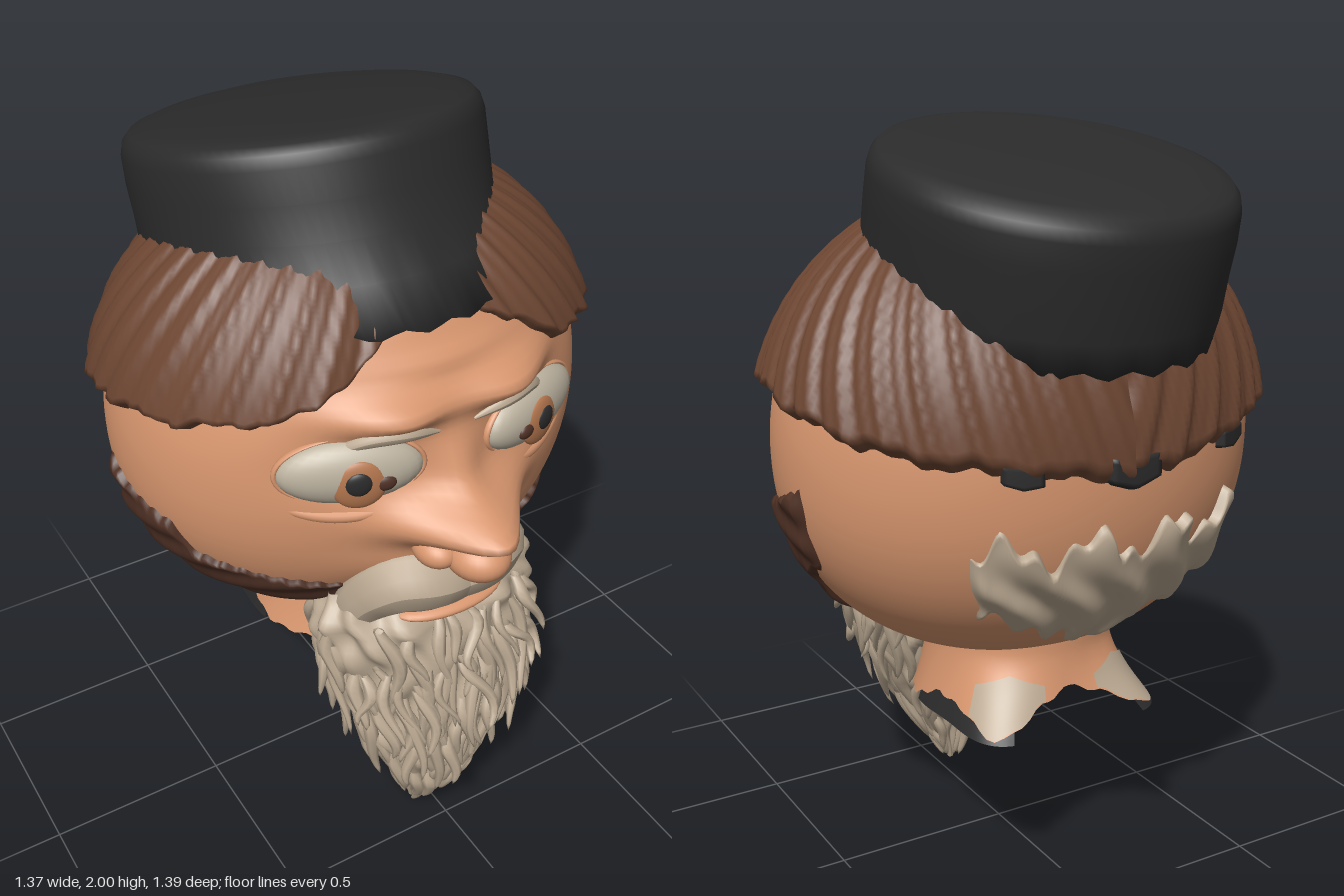
import * as THREE from 'three';
import { mergeGeometries, mergeVertices } from 'three/addons/utils/BufferGeometryUtils.js';
import { ParametricGeometry } from 'three/addons/geometries/ParametricGeometry.js';

const { sin, cos, abs, min, max, sqrt, exp, PI } = Math;
const RAD = PI / 180;

// Piecewise-linear lookup: rows of [key, value, value...] in rising key order
function lookup(rows, key) {
  if (key <= rows[0][0]) return rows[0].slice(1);
  for (let i = 1; i < rows.length; i++) {
    if (key <= rows[i][0]) {
      const a = rows[i - 1], b = rows[i], t = (key - a[0]) / (b[0] - a[0]);
      return a.slice(1).map((q, j) => q + (b[j + 1] - q) * t);
    }
  }
  return rows[rows.length - 1].slice(1);
}

// Smooth, welded surface; u runs round the model from the front, v runs upwards
function surface(fn, nu, nv) {
  let g = new ParametricGeometry((u, v, out) => out.set(...fn(u, v)), nu, nv);
  g.deleteAttribute('uv');
  g.deleteAttribute('normal');
  g = mergeVertices(g, 1e-5);
  g.computeVertexNormals();
  return g;
}

// Basic skull, a little squarer towards the jaw
function skullWidth(y) {
  const power = y > 1.2 ? 2 : 2.2;
  const d = min(1, abs(y - 1.2) / (y > 1.2 ? 0.65 : 0.58));
  return (1 - d ** power) ** (1 / power);
}
function skull(th, y, off = 0) {
  const k = skullWidth(y);
  return [(0.655 * k + off) * sin(th), y, -0.08 + ((cos(th) > 0 ? 0.55 : 0.53) * k + off) * cos(th)];
}

// Facial relief pushed forward: x, y, width, height, amount
const RELIEF = [
  [0, 1.12, 0.155, 0.06, 0.215], [0, 1.22, 0.06, 0.1, 0.04],
  [0.17, 1.42, 0.14, 0.045, 0.075], [-0.17, 1.42, 0.14, 0.045, 0.075],
  [0.26, 1.27, 0.14, 0.07, -0.03], [-0.26, 1.27, 0.14, 0.07, -0.03],
  [0, 0.97, 0.2, 0.09, 0.06], [0, 1.51, 0.2, 0.025, 0.015],
];
function skinPoint(th, y) {
  const p = skull(th, y);
  for (const [bx, by, sx, sy, a] of RELIEF) {
    p[2] += a * max(0, cos(th)) * exp(-(((p[0] - bx) / sx) ** 2) - ((y - by) / sy) ** 2);
  }
  return p;
}
function onFace(x, y, off) {
  const p = skinPoint(Math.asin(x / (0.655 * skullWidth(y))), y);
  return new THREE.Vector3(x, y, p[2] + off);
}

// Raised patch of hair lying on the skull between two heights, edges tucked in
function patch(a0, a1, lo, hi, thick, ripple, nu, nv) {
  return surface((u, v) => {
    const a = a0 + (a1 - a0) * u;
    const y = lo(a) + (hi(a) - lo(a)) * v;
    const edge = min(1, 16 * v, 16 * (1 - v), 20 * u, 20 * (1 - u));
    return skull(a * RAD, y, -0.01 + (thick + 0.01 + ripple(a, y)) * edge);
  }, nu, nv);
}

// Round bar following a curve, radius scaled along its length
function taperedTube(points, radius, profile) {
  const curve = new THREE.CatmullRomCurve3(points);
  const n = 24, m = 12;
  const g = new THREE.TubeGeometry(curve, n, radius, m);
  const pos = g.attributes.position, c = new THREE.Vector3(), p = new THREE.Vector3();
  for (let i = 0; i < pos.count; i++) {
    const t = Math.floor(i / (m + 1)) / n;
    curve.getPointAt(t, c);
    p.fromBufferAttribute(pos, i).sub(c).multiplyScalar(profile(t)).add(c);
    pos.setXYZ(i, p.x, p.y, p.z);
  }
  g.computeVertexNormals();
  return g;
}

// Beard body sections by height: half width, back z, front z
const BEARD = [
  [0, 0.008, 0.385, 0.4], [0.1, 0.045, 0.36, 0.46], [0.2, 0.1, 0.31, 0.52], [0.3, 0.155, 0.26, 0.555],
  [0.4, 0.2, 0.2, 0.57], [0.5, 0.24, 0.15, 0.575], [0.6, 0.28, 0.11, 0.56], [0.7, 0.31, 0.12, 0.54],
  [0.78, 0.32, 0.17, 0.515], [0.85, 0.28, 0.22, 0.44],
];
function beardPoint(th, y, off) {
  const [w, zb, zf] = lookup(BEARD, y);
  const lean = -0.05 * max(0, 1 - y / 0.5);
  return [lean + (w + off) * sin(th), y, (zf + zb) / 2 + ((zf - zb) / 2 + off) * cos(th)];
}

export function createModel() {
  const root = new THREE.Group();
  const mat = (name, color) => new THREE.MeshStandardMaterial({ name, color, side: THREE.DoubleSide });
  const skin = mat('skin', 0xd9976f), hair = mat('brown hair', 0x6d4632), dark = mat('dark brown', 0x4f3125);
  const black = mat('black felt', 0x2b2b2b), grey = mat('grey beard', 0xbba992);
  const white = mat('eye white', 0xbdb3a0), amber = mat('iris amber', 0xb5774f);
  const add = (name, geo, m, parent = root) => {
    const mesh = new THREE.Mesh(geo, m);
    mesh.name = name;
    parent.add(mesh);
    return mesh;
  };
  const ball = (name, m, p, s, parent = root) => {
    const mesh = add(name, new THREE.SphereGeometry(1, 28, 20), m, parent);
    mesh.position.set(...p);
    mesh.scale.set(...s);
    return mesh;
  };

  // Head with brow, nose and upper lip modelled in
  add('head', surface((u, v) => {
    const c = -cos(PI * v);
    return skinPoint((u * 2 - 1) * PI, 1.2 + c * (c > 0 ? 0.65 : 0.58));
  }, 160, 110), skin);
  ball('noseBulb', skin, [0, 1.035, 0.57], [0.082, 0.062, 0.095]);
  ball('lowerLip', skin, [0, 0.812, 0.46], [0.16, 0.026, 0.07]);

  // Neck widening into two collar points at the back
  const neckPoint = (th, y, off) => {
    const point = exp(-(((abs(th) / RAD - 142) / 22) ** 2));
    const drop = max(0, (0.66 - y) / 0.19);
    const r = 0.25 + (0.04 + 0.095 * point) * drop ** 1.5 + off;
    return [r * sin(th), y, -0.1 + r * cos(th)];
  };
  const neckEdge = [[0, 0.47], [75, 0.475], [100, 0.525], [122, 0.51], [142, 0.47], [160, 0.53], [180, 0.565]];
  const neckLow = th => lookup(neckEdge, abs(th) / RAD)[0] + 0.005 * sin(abs(th) * 23);
  add('neck', surface((u, v) => {
    const th = (u * 2 - 1) * PI, lo = neckLow(th);
    return neckPoint(th, lo + (0.7 - lo) * v, 0);
  }, 100, 10), skin);

  for (const s of [1, -1]) {
    const side = s > 0 ? 'left' : 'right';
    ball(side + 'Nostril', skin, [s * 0.085, 1.045, 0.51], [0.055, 0.045, 0.07]);

    // Eye, turned to follow the curve of the face
    const eye = new THREE.Group();
    eye.name = side + 'Eye';
    eye.position.set(s * 0.26, 1.28, 0.395);
    eye.rotation.y = s * 0.36;
    root.add(eye);
    ball('eyeball', white, [0, 0, 0], [0.18, 0.09, 0.062], eye);
    ball('iris', amber, [-s * 0.015, -0.015, 0.047], [0.068, 0.068, 0.021], eye);
    ball('pupil', black, [-s * 0.012, -0.005, 0.062], [0.033, 0.033, 0.012], eye);
    ball('irisFleck', dark, [-s * 0.075, -0.015, 0.05], [0.03, 0.022, 0.014], eye);
    add('eyelids', new THREE.TorusGeometry(1, 0.04, 10, 48), skin, eye).scale.set(0.182, 0.094, 0.25);

    // Brow hairs under the ridge, and under-eye fold
    const arc = (pts, off) => pts.map(([x, y]) => onFace(s * x, y, off));
    const bulge = t => 0.2 + 0.8 * sin(PI * t);
    add(side + 'Eyebrow', taperedTube(arc([[0.05, 1.352], [0.14, 1.378], [0.23, 1.372], [0.315, 1.325]], 0.0), 0.022, bulge), grey);
    add(side + 'EyeFold', taperedTube(arc([[0.12, 1.19], [0.25, 1.155], [0.38, 1.17], [0.46, 1.22]], -0.016), 0.02, bulge), skin);

    // Drooping moustache half, broad in the middle
    const path = [[-0.05, 0.905, 0.46], [0.06, 0.92, 0.465], [0.14, 0.915, 0.43], [0.195, 0.85, 0.38], [0.23, 0.75, 0.34]];
    add(side + 'Moustache', taperedTube(path.map(([x, y, z]) => new THREE.Vector3(s * x, y, z)), 0.095,
      t => t < 0.6 ? 0.83 + 0.2 * sin(t * 4.2) : 0.95 - (t - 0.6) * 0.9), grey);

    // Dark sideburn sweeping along the jaw
    const low = [[20, 0.76], [45, 0.715], [70, 0.7], [84, 0.75], [88, 0.88], [100, 0.94]];
    const high = [[20, 0.88], [45, 0.93], [66, 0.98], [70, 1.07], [86, 1.1], [100, 1.16]];
    add(side + 'Sideburn', patch(s > 0 ? 20 : -100, s > 0 ? 100 : -20,
      a => lookup(low, abs(a))[0] + 0.006 * sin(a * 0.9),
      a => lookup(high, abs(a))[0] + 0.006 * sin(a * 1.3),
      0.016, (a, y) => 0.006 * sin(abs(a) * 0.12 + y * 60), 80, 40), dark);

    // Dark scrap of cloth and pale collar point at the neck edge
    add(side + 'NeckCloth', surface((u, v) => {
      const th = s * (80 + 68 * u) * RAD;
      return neckPoint(th, 0.465 + (max(0.475, neckLow(th) + 0.004) - 0.465) * v, -0.003);
    }, 40, 3), black);
    add(side + 'CollarPoint', surface((u, v) => {
      const a = 126 + 38 * u, lo = neckLow(a * RAD) + 0.004;
      const hi = 0.61 - 0.03 * abs(u * 2 - 1);
      return neckPoint(s * a * RAD, lo + (hi - lo) * v, 0.006);
    }, 20, 6), grey);
  }

  // Combed hair cap with a parted fringe
  const hairline = [[0, 1.6], [12, 1.59], [20, 1.53], [35, 1.42], [60, 1.37], [90, 1.335], [130, 1.25], [180, 1.17]];
  const thickness = [[0, 0], [18, 0.03], [32, 0.055], [60, 0.06], [120, 0.052], [150, 0.038], [180, 0.03]];
  add('hair', surface((u, v) => {
    const a = (u * 2 - 1) * 180;
    const lo = lookup(hairline, abs(a))[0] + 0.008 * sin(a * 0.31) + 0.005 * sin(a * 0.83);
    const y = lo + (1.8 - lo) * v;
    const sweep = abs(a) + (y - 1.4) * 30;
    const strands = 0.006 * sin(sweep * 0.62) + 0.004 * sin(sweep * 1.31 + 1);
    return skull(a * RAD, y, -0.012 + (lookup(thickness, abs(a))[0] + 0.004 + strands) * min(1, v * 12));
  }, 260, 36), hair);

  // Scraps of hat band showing below the hair at the nape
  for (const [a, w] of [[156, 5], [181, 7], [213, 6]]) {
    add('hatBandScrap', patch(a - w, a + w, q => 1.16 + 0.0012 * abs(180 - q) + 0.003 * abs(q - a),
      () => 1.26, 0.02, () => 0, 12, 8), black);
  }

  // Tilted, slightly domed hat: centre z, half width, half depth, height at z = 0, slope
  const hatRows = [
    [0, -0.12, 0.38, 0.42, 1.57, 0.12], [1, -0.115, 0.455, 0.515, 1.54, 0.15], [2, -0.165, 0.455, 0.485, 1.64, 0.18],
    [3, -0.2, 0.455, 0.465, 1.74, 0.2], [4, -0.225, 0.46, 0.455, 1.83, 0.22], [5, -0.242, 0.46, 0.446, 1.91, 0.24],
    [6, -0.248, 0.452, 0.438, 1.942, 0.24], [7, -0.25, 0.435, 0.42, 1.962, 0.24], [8, -0.25, 0.4, 0.385, 1.972, 0.235],
    [9, -0.25, 0.33, 0.315, 1.981, 0.225], [10, -0.25, 0.18, 0.17, 1.988, 0.215], [11, -0.25, 0, 0, 1.988, 0.21],
  ];
  add('hat', surface((u, v) => {
    const th = (u * 2 - 1) * PI, row = Math.round(v * 11);
    const [cz, rx, rz, y0, slope] = lookup(hatRows, row);
    const z = cz + rz * cos(th);
    const jag = row < 2 ? 0.01 * sin(th * 23) : 0;
    return [-0.015 + rx * sin(th), y0 + slope * z + jag, z];
  }, 96, 11), black);

  // Grey tuft on the back of the head
  add('napeTuft', patch(143, 224,
    a => 0.72 + 0.18 * abs((a - 180) / 42) ** 1.6 + 0.025 * sin(a * 0.6),
    a => 1.04 + 0.04 * sin(a * 0.3) + 0.025 * sin(a * 0.8),
    0.018, (a, y) => 0.012 * sin((a - 180) * 0.4 * (1.6 - y * 0.7) + 3 * sin(y * 14)), 90, 36), grey);

  // Beard body with wavy locks
  add('beard', surface((u, v) => {
    const th = (u * 2 - 1) * PI, y = 0.85 * v;
    const lump = 0.012 * sin(th * 13 + 2.5 * sin(y * 17)) + 0.008 * sin(th * 7 - y * 42);
    return beardPoint(th, y, lump * min(1, y * 5));
  }, 110, 60), grey);

  // Hanging strands that follow the beard body and flick out at the tips
  let seed = 7;
  const rnd = () => (seed = (seed * 16807) % 2147483647) / 2147483647;
  const strands = [];
  for (let i = 0; i < 170; i++) {
    const th0 = (rnd() * 2 - 1) * 2.5, y0 = 0.1 + 0.7 * rnd() ** 0.65;
    const len = min(y0 - 0.01, 0.12 + 0.16 * rnd());
    const r = 0.017 + 0.011 * rnd(), flare = 0.01 + 0.08 * rnd() ** 2, wave = rnd() * 6, amp = 0.03 + 0.07 * rnd();
    strands.push(surface((u, v) => {
      const t = 1 - v, y = y0 - len * t;
      const p = beardPoint(th0 + amp * sin(wave + t * 5), y, flare * t * min(1, y * 4 + 0.2));
      const w = r * sqrt(max(0, 1 - t)) * (0.5 + 0.5 * min(1, t * 4));
      return [p[0] + w * sin(u * 2 * PI), y, p[2] + w * cos(u * 2 * PI)];
    }, 7, 10));
  }
  add('beardStrands', mergeGeometries(strands), grey);

  return root;
}
